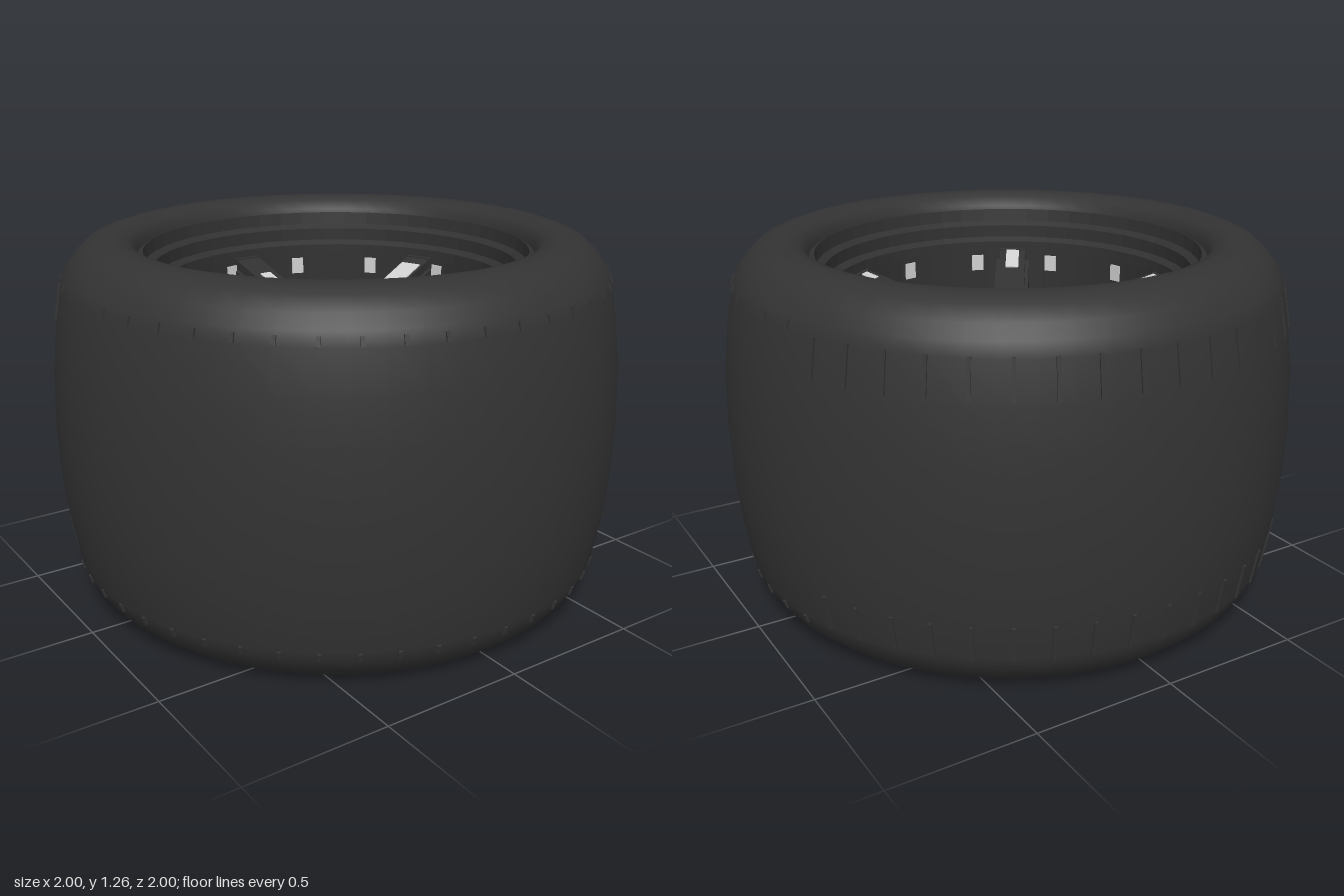
import * as THREE from 'three';

export function createModel() {
  const model = new THREE.Group();
  const rubber = new THREE.MeshStandardMaterial({ color: 0x333333, side: THREE.DoubleSide });
  rubber.name = 'black rubber';
  const metal = new THREE.MeshStandardMaterial({ color: 0x313131, side: THREE.DoubleSide, flatShading: true });
  metal.name = 'black rim';
  const silver = new THREE.MeshStandardMaterial({ color: 0xd0d0d0 });
  silver.name = 'worn silver';

  function add(parent, name, geometry, material) {
    const mesh = new THREE.Mesh(geometry, material);
    mesh.name = name;
    parent.add(mesh);
    return mesh;
  }
  const lathe = (pts, sides) =>
    new THREE.LatheGeometry(pts.map(([r, y]) => new THREE.Vector2(r, y)), sides);

  // Side outline (radius, height) extruded to a width centred on z = 0
  function slab(pts, width) {
    const shape = new THREE.Shape(pts.map(([r, y]) => new THREE.Vector2(r, y)));
    return new THREE.ExtrudeGeometry(shape, { depth: width, bevelEnabled: false })
      .translate(0, 0, -width / 2);
  }

  // Tyre: rounded shoulders and a bulging tread
  const half = [[0.685, 0.09], [0.69, 0.045], [0.715, 0.014], [0.76, 0], [0.81, 0.002], [0.86, 0.02],
    [0.905, 0.06], [0.935, 0.105], [0.952, 0.15], [0.975, 0.28], [0.992, 0.43], [1, 0.6325]];
  const H = 1.265;
  const upper = half.slice(0, -1).reverse().map(([r, y]) => [r, H - y]);
  add(model, 'tyre', lathe([...half, ...upper], 56), rubber);

  // Shoulder notches: long slits around the back, short nicks elsewhere
  const notches = new THREE.Group();
  notches.name = 'shoulderNotches';
  model.add(notches);
  for (let i = 0; i < 48; i++) {
    const a = (i / 48) * Math.PI * 2;
    const long = Math.sin(a) > 0.35;
    for (const s of [1, -1]) {
      const pivot = new THREE.Group();
      pivot.rotation.y = a;
      notches.add(pivot);
      const notch = add(pivot, 'notch', new THREE.BoxGeometry(0.008, long ? 0.13 : 0.03, 0.012), rubber);
      notch.position.set(long ? 0.964 : 0.948, H / 2 + s * (long ? 0.425 : 0.5), 0);
      notch.rotation.z = s * (long ? 0.18 : 0.3);
    }
  }

  // Rim barrel with stepped lips, and the inner drum
  add(model, 'rimBarrel', lathe([[0.69, 0.06], [0.665, 0.03], [0.655, 0.05], [0.65, 0.09],
    [0.625, 0.1], [0.615, 0.14], [0.615, 1.09], [0.64, 1.105], [0.64, 1.15], [0.665, 1.165],
    [0.67, 1.21], [0.69, 1.2]], 48), metal);
  add(model, 'innerDrum',
    new THREE.CylinderGeometry(0.565, 0.565, 0.95, 48, 1, true).translate(0, 0.595, 0), metal);

  // Worn patches along the drum's top edge
  for (let i = 0; i < 12; i++) {
    const pivot = new THREE.Group();
    pivot.name = 'drumPatch';
    pivot.rotation.y = (i / 12) * Math.PI * 2 + 0.2;
    model.add(pivot);
    add(pivot, 'wornPatch', new THREE.BoxGeometry(0.006, 0.06, 0.045), silver).position.set(0.558, 1.02, 0);
  }

  // Five dished spokes with thin side walls, each with a worn patch [radius, length, width]
  const patches = [[0.38, 0.14, 0.045], [0.42, 0.2, 0.08], [0.54, 0.05, 0.04], [0.5, 0.13, 0.05], [0.49, 0.16, 0.05]];
  const slope = 0.12 / 0.39;
  patches.forEach(([r, length, width], i) => {
    const spoke = new THREE.Group();
    spoke.name = 'spoke';
    spoke.rotation.y = THREE.MathUtils.degToRad(93 - 72 * i);
    model.add(spoke);
    add(spoke, 'spokeFace',
      slab([[0.19, 0.85], [0.61, 0.97], [0.61, 1.05], [0.58, 1.07], [0.19, 0.95]], 0.1), metal);
    for (const s of [1, -1]) {
      add(spoke, 'spokeWall',
        slab([[0.2, 0.65], [0.37, 0.47], [0.565, 0.34], [0.61, 1.01], [0.56, 1.03], [0.2, 0.92]], 0.02),
        metal).position.z = s * 0.055;
    }
    const patch = add(spoke, 'wornPatch', new THREE.BoxGeometry(length, 0.008, width), silver);
    patch.position.set(r, 0.95 + (r - 0.19) * slope, 0);
    patch.rotation.z = Math.atan(slope);
    add(spoke, 'wornSidePatch', new THREE.BoxGeometry(0.08, 0.12, 0.006), silver)
      .position.set(0.42, 0.86, 0.066);
    add(spoke, 'wornInnerPatch', new THREE.BoxGeometry(0.006, 0.2, 0.04), silver)
      .position.set(0.555, 0.48, 0);
  });

  // Round hub with lug holes
  const ring = (r, n, turn) => Array.from({ length: n }, (_, k) => {
    const a = turn + (k / n) * Math.PI * 2;
    return new THREE.Vector2(Math.cos(a) * r, Math.sin(a) * r);
  });
  const turn = THREE.MathUtils.degToRad(93);
  const plate = new THREE.Shape(ring(0.2, 10, turn));
  for (const c of ring(0.13, 5, turn + Math.PI / 5)) {
    plate.holes.push(new THREE.Path(ring(0.035, 6, 0).map((p) => p.add(c))));
  }
  const hub = add(model, 'hub', new THREE.ExtrudeGeometry(plate, { depth: 0.33, bevelEnabled: false }), metal);
  hub.rotation.x = -Math.PI / 2;
  hub.position.y = 0.62;
  add(model, 'hubCap', new THREE.CylinderGeometry(0.06, 0.085, 0.05, 10).translate(0, 0.97, 0), metal);
  add(model, 'wornHubPatch', new THREE.BoxGeometry(0.05, 0.008, 0.04), silver).position.set(0.01, 0.995, 0);

  return model;
}
